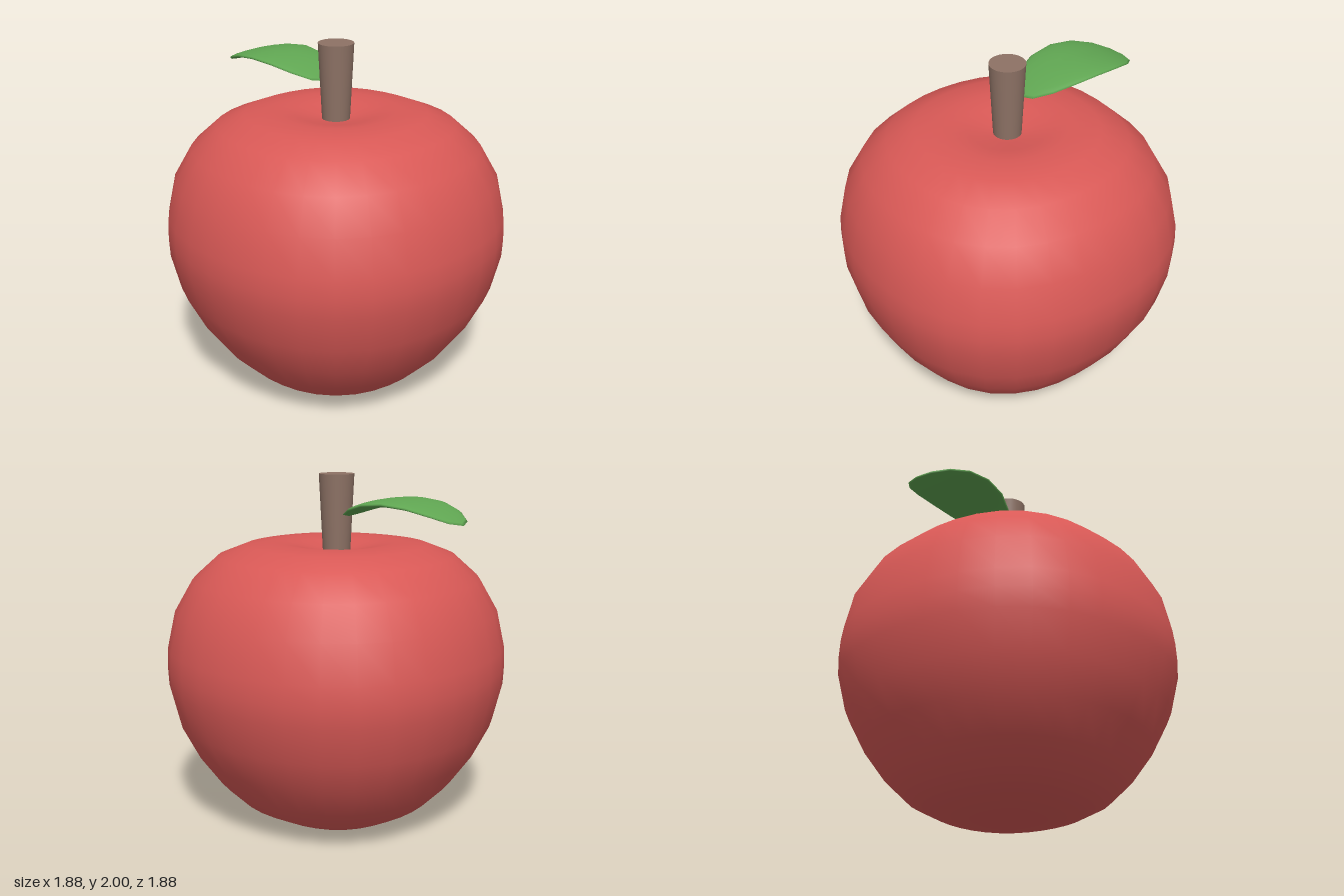
import * as THREE from 'three';
import { mergeVertices } from 'three/addons/utils/BufferGeometryUtils.js';

// Moves every vertex by a rule, then welds seams and smooths the normals
function reshape(geometry, rule) {
  const pos = geometry.attributes.position;
  const v = new THREE.Vector3();
  for (let i = 0; i < pos.count; i++) {
    rule(v.fromBufferAttribute(pos, i));
    pos.setXYZ(i, v.x, v.y, v.z);
  }
  geometry.deleteAttribute('uv');
  geometry.deleteAttribute('normal');
  const welded = mergeVertices(geometry, 1e-4);
  welded.computeVertexNormals();
  return welded;
}

function addPart(group, name, geometry, material) {
  const mesh = new THREE.Mesh(geometry, material);
  mesh.name = name;
  group.add(mesh);
  return mesh;
}

export function createModel() {
  const red = new THREE.MeshStandardMaterial({ name: 'skin red', color: 0xd95956 });
  const brown = new THREE.MeshStandardMaterial({ name: 'stem brown', color: 0x8d7265 });
  const green = new THREE.MeshStandardMaterial({ name: 'leaf green', color: 0x60a652 });

  const group = new THREE.Group();
  group.name = 'apple';

  // Fruit: turned profile with a shallow dimple on top, slightly squared in plan
  const profile = [
    [0, 0.005], [0.14, 0.005], [0.28, 0.015], [0.42, 0.05], [0.55, 0.12],
    [0.67, 0.24], [0.79, 0.41], [0.885, 0.6], [0.935, 0.81], [0.94, 0.92],
    [0.935, 1.03], [0.89, 1.24], [0.79, 1.42], [0.65, 1.55], [0.5, 1.61],
    [0.34, 1.625], [0.22, 1.605], [0.11, 1.58], [0, 1.57],
  ].map(([r, y]) => new THREE.Vector2(r, y));
  const fruit = reshape(new THREE.LatheGeometry(profile, 32), (v) => {
    const s = Math.sin(2 * Math.atan2(v.z, v.x));
    const k = 1 + 0.036 * s * s;
    v.x *= k;
    v.z *= k;
    v.y = Math.max(v.y - 0.005, 0);
  });
  addPart(group, 'fruit', fruit, red);

  // Stem: widens towards the top
  const stem = addPart(group, 'stem', new THREE.CylinderGeometry(0.1, 0.077, 0.46, 32), brown);
  stem.position.y = 1.77;

  // Leaf: thin lens, arched along its length
  const leaf = reshape(new THREE.SphereGeometry(1, 16, 12), (v) => {
    const arch = -0.1 * v.x * v.x;
    v.set(v.x * 0.38, v.y * 0.024 + arch, v.z * 0.215);
  });
  addPart(group, 'leaf', leaf, green).position.set(-0.46, 1.868, 0);

  return group;
}
